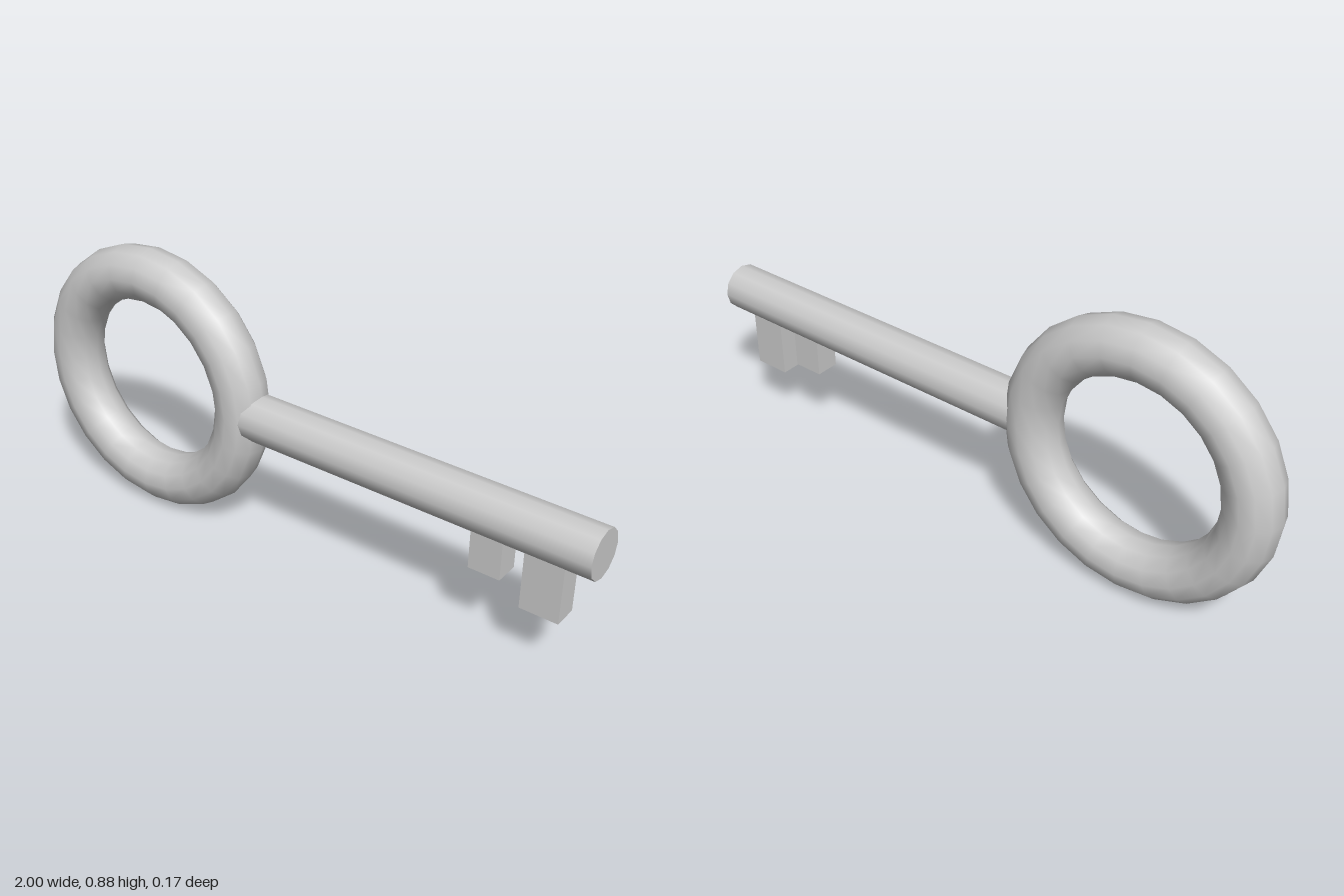
import * as THREE from 'three';

export function createModel() {
  const key = new THREE.Group();
  key.name = 'key';
  const material = new THREE.MeshStandardMaterial({ color: 0xcccccc });
  const axisY = 0.444;

  const add = (name, geometry, x, y) => {
    const mesh = new THREE.Mesh(geometry, material);
    mesh.name = name;
    mesh.position.set(x, y, 0);
    key.add(mesh);
    return mesh;
  };

  // Ring-shaped handle
  add('bow', new THREE.TorusGeometry(0.355, 0.086, 12, 24), -0.56, axisY);

  // Round shaft, its near end buried in the ring
  const start = -0.2, end = 1;
  const shaft = add('shaft', new THREE.CylinderGeometry(0.075, 0.075, end - start, 12), (start + end) / 2, axisY);
  shaft.rotation.z = -Math.PI / 2;

  // Teeth hanging below the shaft, tops buried in it
  const toothTop = 0.41;
  const teeth = [
    ['innerTooth', 0.63, 0.73, 0.26],
    ['outerTooth', 0.795, 0.915, 0.2],
  ];
  for (const [name, x0, x1, bottom] of teeth) {
    add(name, new THREE.BoxGeometry(x1 - x0, toothTop - bottom, 0.078), (x0 + x1) / 2, (toothTop + bottom) / 2);
  }

  return key;
}
